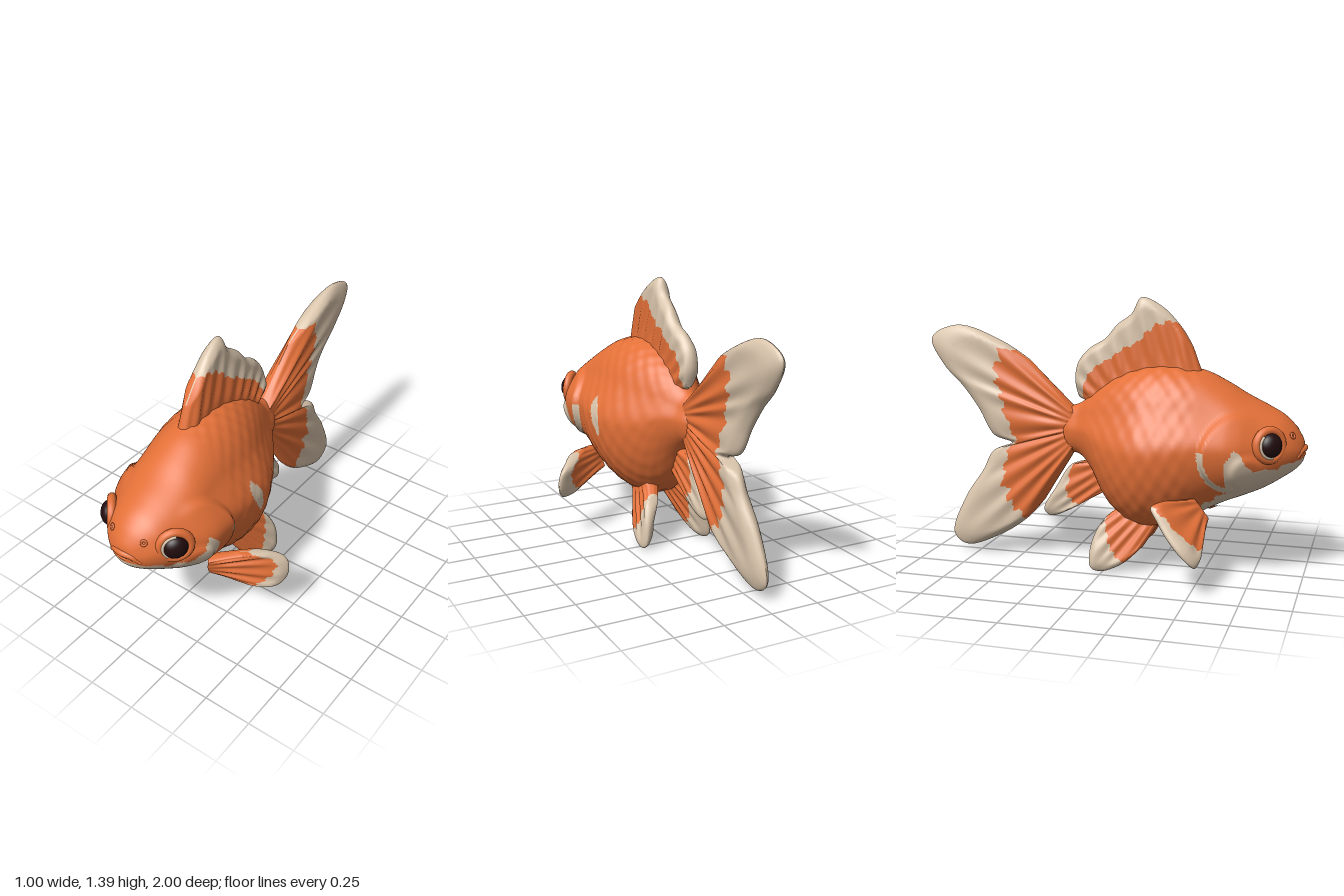
import * as THREE from 'three';

const V = (p) => new THREE.Vector3(...p);
const curve = (pts) => new THREE.CatmullRomCurve3(pts.map(V));
const smooth = THREE.MathUtils.smoothstep;
const MID = -0.03, HEAD = 0.02; // the body bends slightly: x of the tail and of the head
const flat = (pts) => pts.map(([z, y]) => [MID, y, z]);
const midX = (z) => MID + (HEAD - MID) * smooth(z, 0.1, 0.9);

// Indexed geometry with one group per colour
function twoTone(pos, first, second) {
  const g = new THREE.BufferGeometry();
  g.setAttribute('position', new THREE.Float32BufferAttribute(pos, 3));
  g.setIndex([...first, ...second]);
  g.addGroup(0, first.length, 0);
  g.addGroup(first.length, second.length, 1);
  g.computeVertexNormals();
  return g;
}

// Body sections: z, top, bottom, half width
const SECTIONS = [
  [0.987, 0.67, 0.645, 0.005], [0.979, 0.71, 0.605, 0.055], [0.958, 0.748, 0.575, 0.098],
  [0.93, 0.785, 0.55, 0.135], [0.88, 0.83, 0.515, 0.182], [0.8, 0.875, 0.465, 0.228],
  [0.7, 0.925, 0.42, 0.272], [0.6, 0.985, 0.38, 0.29], [0.5, 1.035, 0.33, 0.305],
  [0.4, 1.06, 0.275, 0.32], [0.3, 1.07, 0.24, 0.325], [0.2, 1.06, 0.23, 0.315],
  [0.1, 1.03, 0.26, 0.275], [0, 0.98, 0.345, 0.215], [-0.1, 0.905, 0.52, 0.14],
  [-0.16, 0.855, 0.58, 0.095], [-0.22, 0.83, 0.6, 0.07], [-0.25, 0.79, 0.64, 0.045],
  [-0.255, 0.72, 0.71, 0.004],
];

const gillDist = (y, z) => Math.hypot((z - 0.68) / 0.17, (y - 0.66) / 0.2);

// Pale chin, cheeks, gill rim, belly and one side patch
function isPale(x, y, z) {
  const jag = 0.01 * Math.sin(z * 70 + y * 23) + 0.006 * Math.sin(z * 131 + x * 60);
  const patch = Math.hypot((z - 0.29 - (y - 0.665) * 0.35) / (0.035 + (y - 0.665) * 0.1), (y - 0.665) / 0.098);
  if (x > 0 && patch < 1 + jag * 5) return true;
  if (z > 0.28 && z < 0.72 && y < 0.26 + (z - 0.3) * 0.62 + jag) return true;
  const d = gillDist(y, z);
  if (z < 0.63) return d > 0.85 && d < 1.05 && y < 0.68;
  return y < 0.59 + 0.03 * smooth(z, 0.85, 0.95) + 0.1 * Math.exp(-(((z - 0.68) / 0.05) ** 2)) + jag * 0.5;
}

function bodyGeometry() {
  const outline = curve(SECTIONS.map(([z, t, b]) => [z, t, b]));
  const widths = curve(SECTIONS.map((s) => [s[3], 0, 0]));
  const R = 170, N = 128, pos = [], orange = [], pale = [];
  for (let i = 0; i <= R; i++) {
    const { x: z, y: top, z: bottom } = outline.getPoint(i / R);
    const hw = widths.getPoint(i / R).x;
    for (let j = 0; j < N; j++) {
      const a = (j / N) * Math.PI * 2, c = Math.cos(a), s = Math.sin(a);
      // soft scale bumps behind the head
      const scaly = smooth(z, -0.15, 0) * (1 - smooth(z, 0.4, 0.5));
      const k = 1 + 0.008 * scaly * Math.sin(z * 75) * Math.sin(a * 18);
      // the back is narrower than the belly
      const slim = 1 - 0.17 * smooth(s, 0, 0.55) * (1 - 0.6 * smooth(z, 0.5, 0.75));
      const y = (top + bottom) / 2 + ((top - bottom) / 2) * s * k;
      // raised gill cover with a steep rear edge, and a cheek pouch
      const d = gillDist(y, z);
      const gill = (1 - smooth(d, 0.88, 1.03)) * (1 - smooth(z, 0.62, 0.8)) * 0.03;
      const cheek = (1 - smooth(Math.hypot((z - 0.74) / 0.1, (y - 0.57) / 0.11), 0.6, 1)) * 0.018;
      pos.push(midX(z) + c * (hw * k * slim + gill + cheek), y, z);
    }
  }
  const at = (n, k) => pos[n * 3 + k];
  const tri = (...t) => {
    const [x, y, z] = [0, 1, 2].map((k) => (at(t[0], k) + at(t[1], k) + at(t[2], k)) / 3);
    (isPale(x, y, z) ? pale : orange).push(...t);
  };
  for (let i = 0; i < R; i++) for (let j = 0; j < N; j++) {
    const a = i * N + j, b = i * N + ((j + 1) % N);
    tri(a, a + N, b);
    tri(b, a + N, b + N);
  }
  return twoTone(pos, orange, pale);
}

// Fan fin between a root and a tip curve; edge lists where the pale border starts (over 1: none)
function finGeometry(rootPts, tipPts, edge, half, rays, wave) {
  const root = curve(rootPts), tip = curve(tipPts);
  const U = rays * 10, W = 22, K = 12, pos = [], orange = [], pale = [];
  const mid = (u, v) => root.getPoint(u).lerp(tip.getPoint(u), v);
  const n = mid(0.65, 0.6).sub(mid(0.35, 0.6)).cross(mid(0.5, 0.9).sub(mid(0.5, 0.2))).normalize();
  for (const side of [1, -1]) {
    const base = pos.length / 3;
    for (let i = 0; i <= U; i++) {
      const u = i / U, f = u * (edge.length - 1), e = Math.min(Math.floor(f), edge.length - 2);
      let b = THREE.MathUtils.lerp(edge[e], edge[e + 1], f - e);
      b = Math.min(0.999, b + 0.022 * Math.sin(u * rays * 9) + 0.013 * Math.sin(u * rays * 23));
      for (let j = 0; j <= W; j++) {
        // rows crowd towards the tip so that its rim stays round
        const v = j <= K ? b * (1 - (1 - j / K) ** 1.5) : b + (1 - b) * (1 - (1 - (j - K) / (W - K)) ** 2);
        // rounded rim, shallow rays that fade outwards, slight waviness
        const rim = Math.sqrt(Math.max(0, Math.min(1, u / 0.08, (1 - u) / 0.08, (1 - v) / 0.12)));
        const ridge = 1 + 0.14 * Math.cos(u * rays * Math.PI * 2) * smooth(v, 0, 0.3) * (1 - smooth(v, 0.6, 1));
        const off = side * half * rim * ridge * (1 - 0.25 * v) + wave * v * Math.sin(u * 14);
        pos.push(...mid(u, v).addScaledVector(n, off).toArray());
      }
    }
    for (let i = 0; i < U; i++) for (let j = 0; j < W; j++) {
      const a = base + i * (W + 1) + j, c = a + W + 1;
      const quad = side > 0 ? [a, c, a + 1, c, c + 1, a + 1] : [a, a + 1, c, c, a + 1, c + 1];
      (j < K ? orange : pale).push(...quad);
    }
  }
  return twoTone(pos, orange, pale);
}

export function createModel() {
  const fish = new THREE.Group();
  fish.name = 'goldfish';
  const material = (name, color) => Object.assign(new THREE.MeshStandardMaterial({ color }), { name });
  const orange = material('orange', 0xe37038);
  const cream = material('cream', 0xdac5ac);
  const dark = material('dark brown', 0x220c0e);
  const add = (name, geometry, mat, parent = fish) => {
    const m = new THREE.Mesh(geometry, mat);
    m.name = name;
    parent.add(m);
    return m;
  };
  const skin = [orange, cream];
  add('body', bodyGeometry(), skin);

  // Tail fin with two lobes
  add('tailFin', finGeometry(
    flat([[-0.19, 0.82], [-0.2, 0.72], [-0.19, 0.61]]),
    flat([[-0.43, 1.06], [-0.62, 1.17], [-0.85, 1.24], [-1, 1.17], [-0.93, 1.03], [-0.82, 0.92],
      [-0.73, 0.8], [-0.65, 0.66], [-0.55, 0.62], [-0.66, 0.57], [-0.72, 0.46], [-0.82, 0.31],
      [-0.895, 0.1], [-0.82, 0.04], [-0.62, 0.11], [-0.47, 0.21], [-0.37, 0.32]]),
    [1.1, 0.88, 0.62, 0.52, 0.55, 0.62, 0.7, 0.72, 0.9, 0.75, 0.72, 0.62, 0.52, 0.56, 0.7, 0.97, 1.1],
    0.056, 10, 0.01), skin);

  // Dorsal fin
  add('dorsalFin', finGeometry(
    flat([[0.49, 0.99], [0.32, 1.03], [0.12, 0.99], [-0.02, 0.93], [-0.12, 0.86]]),
    flat([[0.43, 1.15], [0.36, 1.26], [0.26, 1.36], [0.16, 1.4], [0.11, 1.32], [0.03, 1.26],
      [-0.03, 1.19], [-0.11, 1.14], [-0.17, 1.07], [-0.19, 0.98], [-0.17, 0.88]]),
    [1.1, 1.06, 0.75, 0.57, 0.54, 0.56, 0.57, 0.57, 0.55, 0.52, 0.5], 0.05, 9, 0.006), skin);

  // Anal fin
  add('analFin', finGeometry(
    flat([[0.03, 0.42], [-0.04, 0.5], [-0.1, 0.56]]),
    flat([[-0.1, 0.355], [-0.22, 0.28], [-0.34, 0.235], [-0.37, 0.27], [-0.3, 0.4], [-0.22, 0.52], [-0.15, 0.545]]),
    [1.05, 0.75, 0.58, 0.58, 0.68, 0.88, 1.05], 0.038, 5, 0.005), skin);

  // Pectoral fins, each held at its own angle
  add('leftPectoralFin', finGeometry(
    [[0.19, 0.42, 0.57], [0.18, 0.36, 0.56], [0.17, 0.3, 0.53]],
    [[0.3, 0.44, 0.47], [0.42, 0.42, 0.36], [0.485, 0.37, 0.31], [0.495, 0.28, 0.31], [0.47, 0.22, 0.36], [0.32, 0.24, 0.46]],
    [1.1, 0.82, 0.86, 0.78, 0.7, 0.92], 0.038, 5, 0.006), skin);
  add('rightPectoralFin', finGeometry(
    [[-0.22, 0.42, 0.45], [-0.2, 0.36, 0.49], [-0.19, 0.3, 0.53]],
    [[-0.32, 0.435, 0.38], [-0.42, 0.43, 0.31], [-0.46, 0.35, 0.36], [-0.495, 0.22, 0.48], [-0.45, 0.15, 0.53], [-0.32, 0.23, 0.52]],
    [1.1, 1, 0.9, 0.76, 0.7, 0.92], 0.038, 5, 0.006), skin);

  for (const s of [1, -1]) {
    const side = s > 0 ? 'left' : 'right';
    // Pelvic fins
    const px = (pts) => pts.map(([x, y, z]) => [s * x - 0.015, y, z]);
    add(side + 'PelvicFin', finGeometry(
      px([[0.07, 0.27, 0.28], [0.08, 0.29, 0.17], [0.08, 0.33, 0.06]]),
      px([[0.12, 0.14, 0.2], [0.16, 0.05, 0.1], [0.185, 0.008, -0.01], [0.19, 0.025, -0.06],
        [0.175, 0.11, -0.07], [0.14, 0.21, -0.045], [0.11, 0.28, 0]]),
      [1.1, 0.95, 0.68, 0.6, 0.58, 0.66, 0.85], 0.038, 5, 0.005), skin);

    // Eye with lid ring and a pale arc of iris
    const eye = new THREE.Group();
    eye.name = side + 'Eye';
    eye.position.set(HEAD + s * 0.193, 0.71, 0.832);
    eye.lookAt(eye.position.clone().add(new THREE.Vector3(s * 0.76, 0.06, 0.65)));
    fish.add(eye);
    add('eyelid', new THREE.TorusGeometry(0.072, 0.022, 14, 40), orange, eye);
    const rim = add('irisRim', new THREE.TorusGeometry(0.06, 0.01, 10, 32, Math.PI * 0.8), cream, eye);
    rim.position.z = 0.017;
    rim.rotation.z = s > 0 ? 1.5 : 2.3;
    const ball = add('eyeball', new THREE.SphereGeometry(0.06, 32, 20), dark, eye);
    ball.position.z = 0.012;
    ball.scale.z = 0.7;

    // Nostril
    const nostril = add(side + 'Nostril', new THREE.TorusGeometry(0.012, 0.006, 8, 18), orange);
    nostril.position.set(HEAD + s * 0.095, 0.745, 0.934);
    nostril.lookAt(nostril.position.clone().add(new THREE.Vector3(s * 0.5, 0.4, 0.8)));
  }

  // Downturned mouth
  const lip = (name, h, r, y, z) => add(name, new THREE.TubeGeometry(curve([
    [HEAD - h, y - 0.038, z - 0.036], [HEAD - h * 0.6, y - 0.008, z - 0.014], [HEAD, y, z],
    [HEAD + h * 0.6, y - 0.008, z - 0.014], [HEAD + h, y - 0.038, z - 0.036]]), 28, r, 10), orange);
  lip('upperLip', 0.085, 0.016, 0.67, 0.985);
  lip('lowerLip', 0.065, 0.012, 0.64, 0.98);
  return fish;
}
